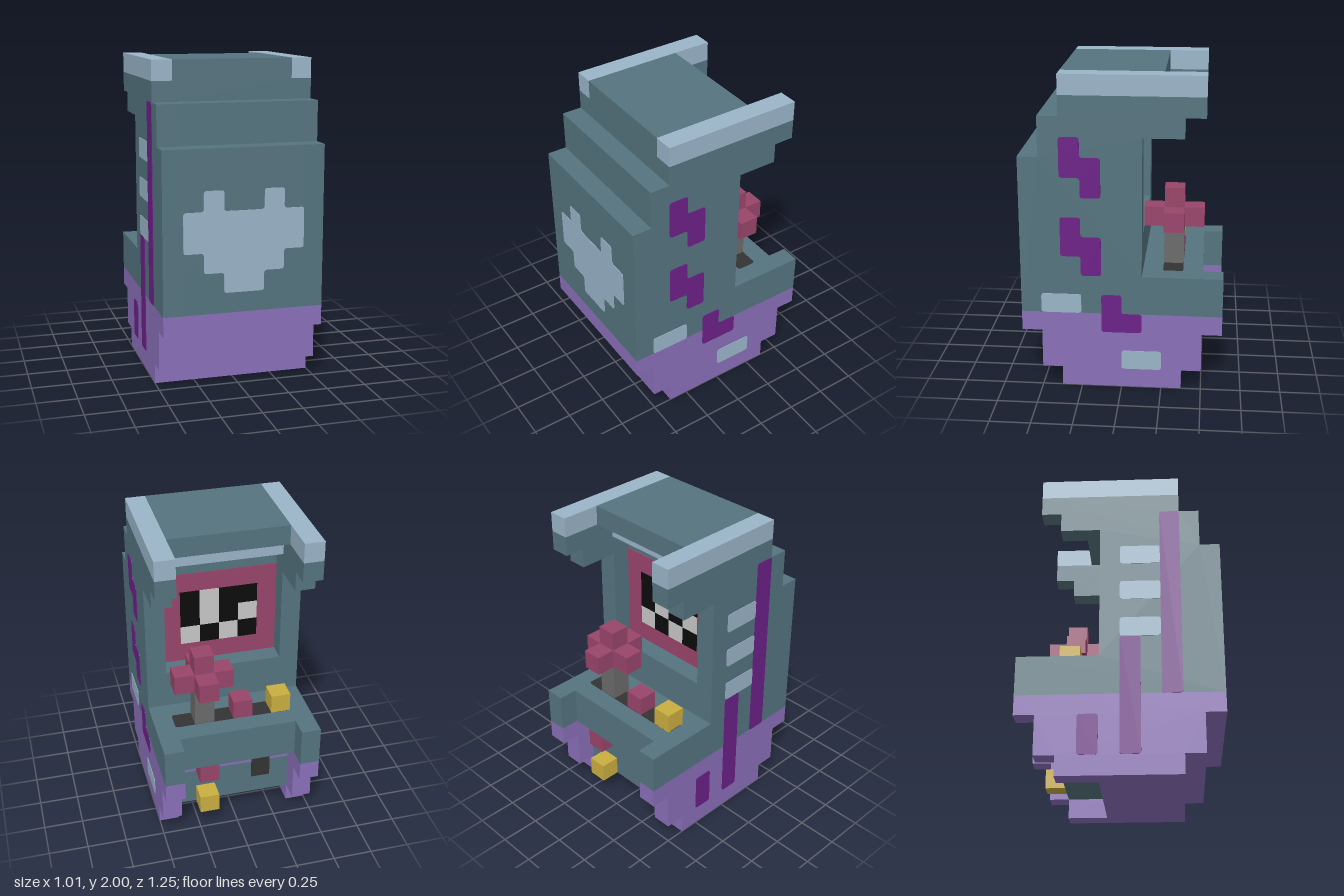
import * as THREE from 'three';

const U = 0.125; // one block of the grid
const PLATE = 0.03; // thickness of painted details, in blocks

function paint(name, color) {
  const m = new THREE.MeshStandardMaterial({ color });
  m.name = name;
  return m;
}

export function createModel() {
  const teal = paint('teal', 0x55747f);
  const purple = paint('purple', 0x8a6fb8);
  const paleBlue = paint('paleBlue', 0x9ab5c9);
  const violet = paint('violet', 0x6c2088);
  const pink = paint('pink', 0x99456a);
  const yellow = paint('yellow', 0xcaae40);
  const grey = paint('grey', 0x6b6b6b);
  const charcoal = paint('charcoal', 0x333333);
  const black = paint('black', 0x0c0c0c);
  const white = paint('white', 0xc8c8c8);

  const model = new THREE.Group();
  model.name = 'arcadeCabinet';
  const blocks = new THREE.Group();
  blocks.name = 'cabinetParts';
  blocks.scale.setScalar(U);
  model.add(blocks);

  const add = (name, geometry, material) => {
    const mesh = new THREE.Mesh(geometry, material);
    mesh.name = name;
    blocks.add(mesh);
    return mesh;
  };

  // Box given by its ranges in blocks
  const box = (name, mat, [x0, x1], [y0, y1], [z0, z1]) =>
    add(name, new THREE.BoxGeometry(x1 - x0, y1 - y0, z1 - z0), mat)
      .position.set((x0 + x1) / 2, (y0 + y1) / 2, (z0 + z1) / 2);

  // Side panel from a (z, y) outline, made for both sides
  const sidePanels = (name, mat, outline) => {
    const shape = new THREE.Shape(outline.map(([z, y]) => new THREE.Vector2(-z, y)));
    const geo = new THREE.ExtrudeGeometry(shape, { depth: 1, bevelEnabled: false });
    geo.rotateY(Math.PI / 2);
    for (const x of [-4, 3]) add(name, geo, mat).position.x = x;
  };

  // Outline with slightly softened corners
  const softShape = (pts, r = 0.14) => {
    const shape = new THREE.Shape();
    const p = pts.map(([x, y]) => new THREE.Vector2(x, y));
    p.forEach((c, i) => {
      const prev = p[(i + p.length - 1) % p.length];
      const next = p[(i + 1) % p.length];
      const a = c.clone().add(prev.clone().sub(c).setLength(r));
      const b = c.clone().add(next.clone().sub(c).setLength(r));
      if (i) shape.lineTo(a.x, a.y);
      else shape.moveTo(a.x, a.y);
      shape.quadraticCurveTo(c.x, c.y, b.x, b.y);
    });
    shape.closePath();
    return shape;
  };
  const rect = (x0, x1, y0, y1) => [[x0, y0], [x1, y0], [x1, y1], [x0, y1]];

  // Thin painted plate
  const decal = (name, mat, pts) =>
    add(name, new THREE.ExtrudeGeometry(softShape(pts), {
      depth: PLATE, bevelEnabled: false, curveSegments: 3,
    }), mat);
  // Plates on the two outer sides take (z, y) points
  const decalRight = (name, mat, pts) => {
    const d = decal(name, mat, pts.map(([z, y]) => [-z, y]));
    d.rotation.y = Math.PI / 2;
    d.position.x = 4;
  };
  const decalLeft = (name, mat, pts) => {
    const d = decal(name, mat, pts);
    d.rotation.y = -Math.PI / 2;
    d.position.x = -4;
  };

  // Stepped side panels and roof rails
  sidePanels('lowerSidePanel', purple, [
    [-3, 0], [3, 0], [3, 1], [4, 1], [4, 3], [5, 3], [5, 4],
    [-5, 4], [-5, 3], [-4, 3], [-4, 1], [-3, 1],
  ]);
  sidePanels('upperSidePanel', teal, [
    [-5, 4], [5, 4], [5, 12], [4, 12], [4, 14], [3, 14], [3, 15],
    [-4, 15], [-4, 14], [-3, 14], [-3, 13], [-1, 13], [-1, 6], [-5, 6],
  ]);
  for (const x of [-4, 3]) box('roofRail', paleBlue, [x, x + 1], [15, 16], [-4, 3]);

  // Body between the panels
  const mid = [-3, 3];
  box('base', purple, mid, [0, 1], [-1, 3]);
  box('lowerBody', purple, mid, [1, 3], [-1, 4]);
  box('coinPanel', teal, mid, [1, 3], [-3, -1]);
  box('lowerBand', purple, mid, [3, 4], [-3, 5]);
  box('controlDeck', teal, mid, [4, 6], [-4, 5]);
  box('screenLedge', teal, mid, [6, 8], [-1, 5]);
  box('screenBody', teal, mid, [8, 12], [0, 5]);
  box('upperBody', teal, mid, [12, 14], [0, 4]);
  box('marqueeBody', teal, mid, [14, 15], [-1, 3]);
  box('roof', teal, mid, [15, 16], [-2, 3]);
  box('marquee', paleBlue, mid, [14, 15], [-1 - PLATE, -1]);

  // Screen with its frame and picture cells
  box('screenFrame', pink, mid, [8, 13], [-PLATE, 0]);
  ['BWBB', 'BWBW', 'WBWB'].forEach((row, r) => [...row].forEach((c, i) =>
    box('screenCell', c === 'W' ? white : black,
      [1 - i, 2 - i], [11 - r, 12 - r], [-2 * PLATE, -PLATE])));

  // Coin slot, coin button and coin
  box('coinSlot', charcoal, [-2, -1], [2, 4], [-3 - PLATE, -3]);
  box('coinButton', pink, [1, 2], [3, 4], [-4, -3]);
  box('coin', yellow, [1, 2], [1, 2], [-4, -3]);

  // Controls on the deck
  const strip = decal('controlStrip', charcoal, rect(-3, 3, 2, 3));
  strip.rotation.x = -Math.PI / 2;
  strip.position.y = 6;
  box('yellowButton', yellow, [-3, -2], [6, 7], [-3, -2]);
  box('pinkButton', pink, [-1, 0], [6, 7], [-3, -2]);
  box('joystickShaft', grey, [1, 2], [6, 8], [-3, -2]);
  box('joystickCore', pink, [1, 2], [8, 10], [-3, -2]);
  for (const [dx, dz] of [[1, 0], [-1, 0], [0, 1], [0, -1]]) {
    box('joystickArm', pink, [1 + dx, 2 + dx], [8, 9], [-3 + dz, -2 + dz]);
  }

  // Emblem on the broad face
  decal('emblem', paleBlue, [
    [-1, 5], [1, 5], [1, 6], [2, 6], [2, 7], [3, 7], [3, 9], [2, 9], [2, 10], [1, 10],
    [1, 9], [-1, 9], [-1, 10], [-2, 10], [-2, 9], [-3, 9], [-3, 7], [-2, 7], [-2, 6], [-1, 6],
  ]).position.z = 5;

  // Painted shapes on the +x side
  for (const y of [6, 10]) {
    decalRight('zigzag', violet, [
      [1, y], [2, y], [2, y + 1], [3, y + 1], [3, y + 3], [2, y + 3], [2, y + 2], [1, y + 2],
    ]);
  }
  decalRight('cornerMark', violet, [[-1, 3], [1, 3], [1, 5], [0, 5], [0, 4], [-1, 4]]);
  decalRight('upperPatch', paleBlue, rect(2, 4, 4, 5));
  decalRight('lowerPatch', paleBlue, rect(-2, 0, 1, 2));

  // Painted stripes on the -x side
  decalLeft('longStripe', violet, rect(2, 3, 4, 14));
  decalLeft('middleStripe', violet, rect(0, 1, 1, 7));
  decalLeft('shortStripe', violet, rect(-2, -1, 1, 3));
  for (const y of [7, 9, 11]) decalLeft('sidePatch', paleBlue, rect(0, 2, y, y + 1));

  return model;
}
